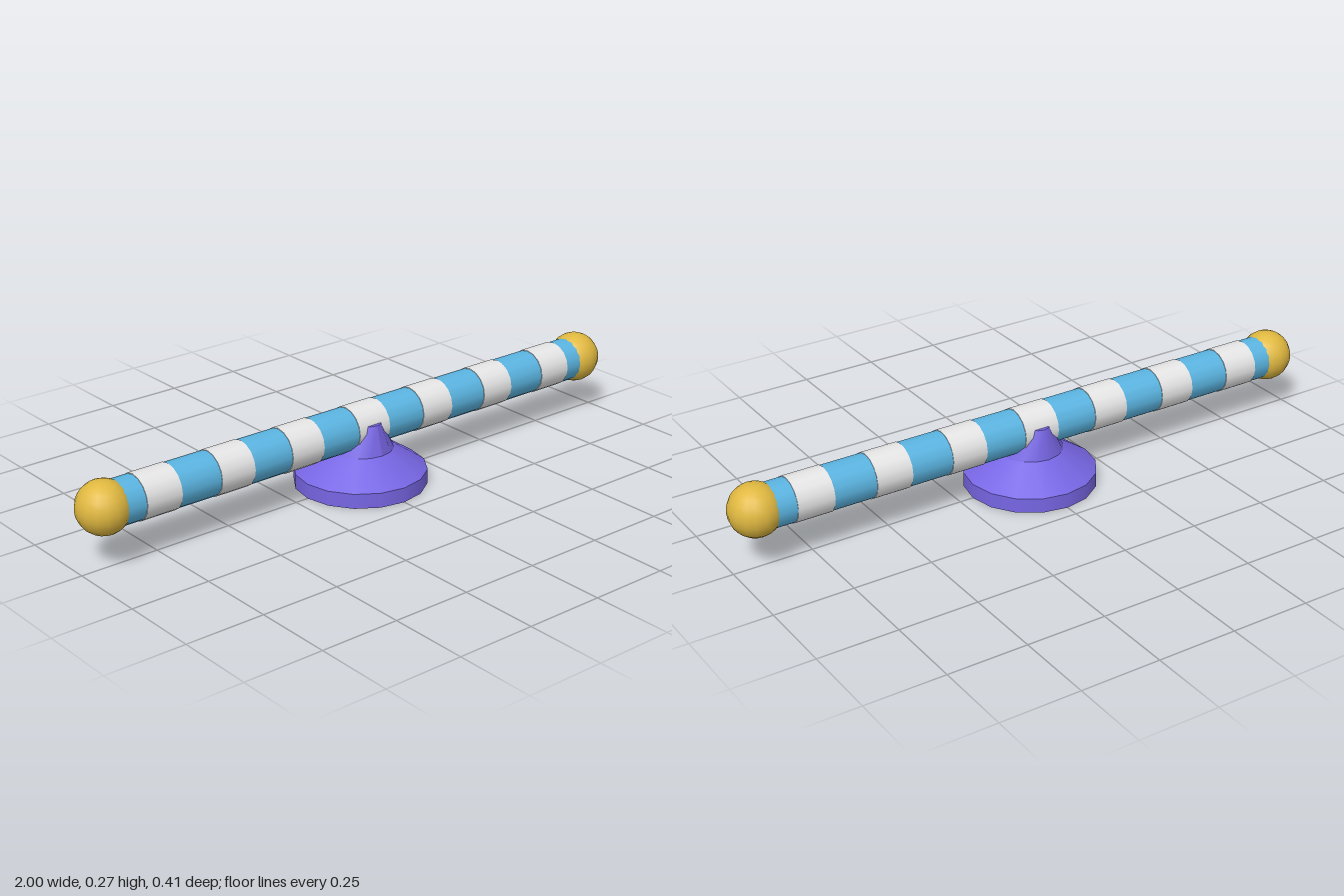
import * as THREE from 'three';

const material = (name, color) => {
  const m = new THREE.MeshStandardMaterial({ color });
  m.name = name;
  return m;
};

export function createModel() {
  const purple = material('purple', 0x7766e4);
  const blue = material('sky blue', 0x5bb5e2);
  const white = material('white', 0xe6e6e6);
  const gold = material('gold', 0xe0b840);

  const model = new THREE.Group();
  model.name = 'seesaw';
  const add = (name, geometry, mat, x, y) => {
    const mesh = new THREE.Mesh(geometry, mat);
    mesh.name = name;
    mesh.position.set(x, y, 0);
    model.add(mesh);
    return mesh;
  };

  const SIDES = 16;
  const BAR_Y = 0.186;

  // Round foot with a sloped shoulder
  add('footDisc', new THREE.CylinderGeometry(0.206, 0.206, 0.047, SIDES), purple, 0, 0.0235);
  add('footSlope', new THREE.CylinderGeometry(0.103, 0.206, 0.069, SIDES), purple, 0, 0.0815);

  // Neck: round at the bottom, pinched along x at the top to cradle the bar
  const neck = new THREE.CylinderGeometry(0.08, 0.103, 0.091, SIDES);
  const p = neck.attributes.position;
  for (let i = 0; i < p.count; i++) {
    if (p.getY(i) > 0) p.setX(i, p.getX(i) * 0.62);
  }
  neck.computeVertexNormals();
  add('neck', neck, purple, 0, 0.1615);

  // Bar along x
  const bar = new THREE.CylinderGeometry(0.069, 0.069, 1.8, SIDES).rotateZ(Math.PI / 2);
  add('bar', bar, blue, 0, BAR_Y);

  // Evenly spaced raised stripes
  const stripe = new THREE.CylinderGeometry(0.071, 0.071, 0.117, SIDES).rotateZ(Math.PI / 2);
  for (let i = -3; i <= 3; i++) add('stripe', stripe, white, i * 0.2535, BAR_Y);

  // Ball on each end
  const ball = new THREE.SphereGeometry(0.081, SIDES, 12);
  for (const side of [-1, 1]) add('endBall', ball, gold, side * 0.919, BAR_Y);

  return model;
}
